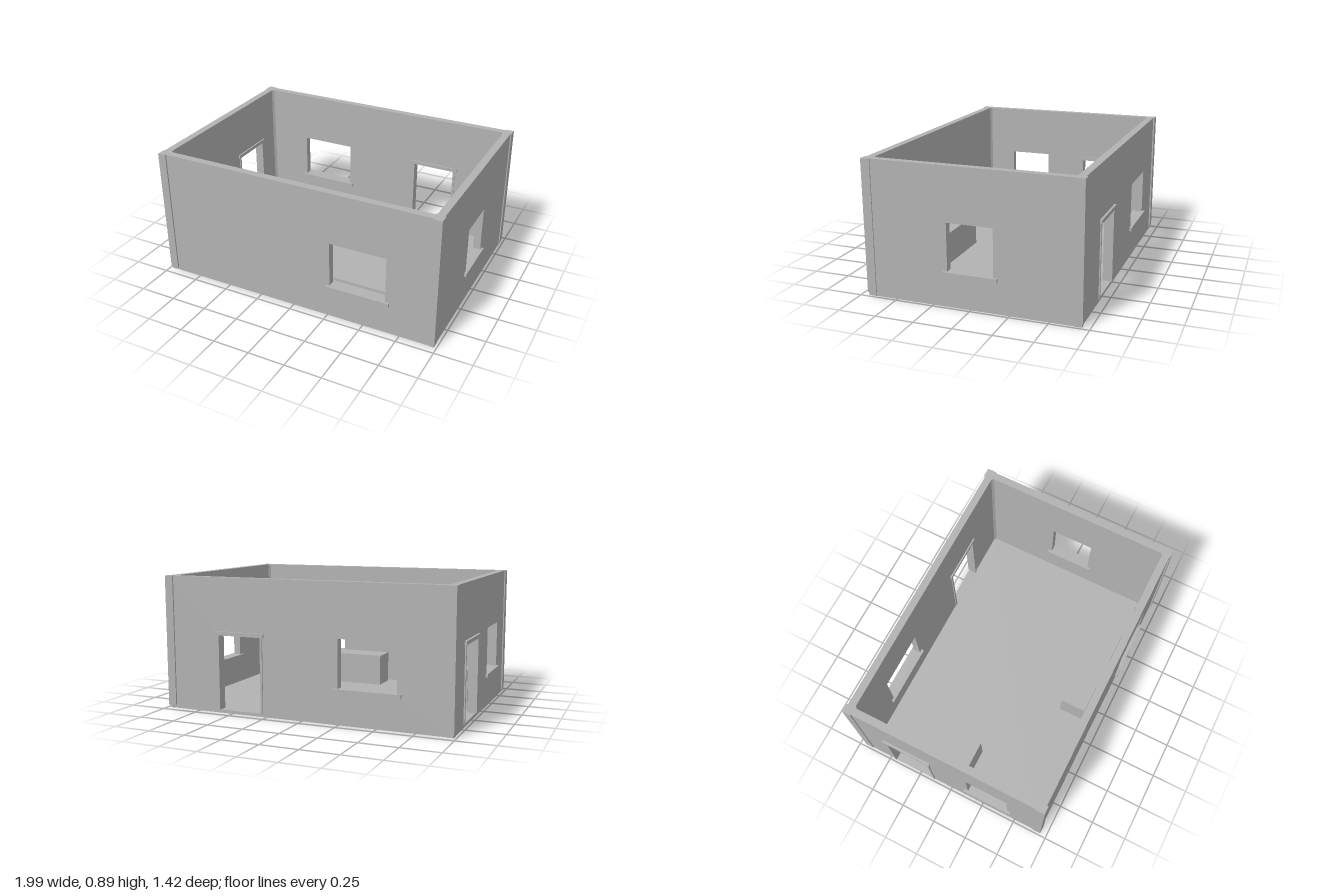
import * as THREE from 'three';

const H = 0.89;        // wall height
const FLOOR = 0.02;    // floor thickness
const T = 0.05;        // wall thickness
const X = 0.98;        // outer wall faces
const Z = 0.695;
const HEAD = 0.54;     // window head
const DOOR_HEAD = 0.515;

export function createModel() {
  const plaster = new THREE.MeshStandardMaterial({ color: 0xb2b2b2 });
  const house = new THREE.Group();
  house.name = 'roomShell';

  function add(parent, name, geometry) {
    const mesh = new THREE.Mesh(geometry, plaster);
    mesh.name = name;
    parent.add(mesh);
    return mesh;
  }

  // box given by its limits
  function box(parent, name, x0, x1, y0, y1, z0, z1) {
    const mesh = add(parent, name, new THREE.BoxGeometry(x1 - x0, y1 - y0, z1 - z0));
    mesh.position.set((x0 + x1) / 2, (y0 + y1) / 2, (z0 + z1) / 2);
    return mesh;
  }

  function rectPath(x0, x1, y0, y1, Type) {
    const p = new Type();
    p.moveTo(x0, y0);
    p.lineTo(x1, y0);
    p.lineTo(x1, y1);
    p.lineTo(x0, y1);
    p.closePath();
    return p;
  }

  // wall with its outer face at local z = 0, turned to face its side of the room
  function wall(name, half, distance, angle, openings) {
    const g = new THREE.Group();
    g.name = name;
    g.rotation.y = angle;
    g.position.set(Math.sin(angle) * distance, 0, Math.cos(angle) * distance);
    house.add(g);

    const shape = rectPath(-half, half, 0, H, THREE.Shape);
    for (const o of openings) {
      const y0 = o.door ? FLOOR : 0.205;
      const y1 = o.door ? DOOR_HEAD : HEAD;
      shape.holes.push(rectPath(o.u - o.w, o.u + o.w, y0, y1, THREE.Path));
    }
    const geo = new THREE.ExtrudeGeometry(shape, { depth: T, bevelEnabled: false });
    add(g, name + 'Panel', geo.translate(0, 0, -T));

    for (const o of openings) {
      if (o.door) {
        // lintel and jambs of a doorway
        box(g, 'doorLintel', o.u - o.w - 0.027, o.u + o.w + 0.027, DOOR_HEAD, HEAD, -T - 0.01, 0.015);
        for (const s of [-1, 1]) {
          const a = o.u + s * o.w, b = o.u + s * (o.w + 0.015);
          box(g, 'doorJamb', Math.min(a, b), Math.max(a, b), FLOOR, DOOR_HEAD, -T - 0.006, 0.008);
        }
      } else {
        // sill of a window
        box(g, 'windowSill', o.u - o.w - 0.028, o.u + o.w + 0.028, 0.205, 0.23, -T - 0.018, 0.017);
      }
    }
  }

  wall('frontWall', X, Z, 0, [{ u: 0.458, w: 0.192 }]);
  wall('backWall', X, Z, Math.PI, [{ u: 0.44, w: 0.192 }, { u: -0.438, w: 0.15, door: true }]);
  wall('leftWall', Z - T, X, Math.PI / 2, [{ u: 0, w: 0.15 }]);
  wall('rightWall', Z - T, X, -Math.PI / 2, [{ u: 0.293, w: 0.15 }, { u: -0.3, w: 0.15, door: true }]);

  // floor slab between the walls
  box(house, 'floor', -X + T, X - T, 0, FLOOR, -Z + T, Z - T);

  for (const sx of [-1, 1]) {
    for (const sz of [-1, 1]) {
      // corner post on a slightly smaller foot
      const post = add(house, 'cornerPost', new THREE.BoxGeometry(0.057, H - FLOOR, 0.06));
      post.position.set(sx * 0.9585, (H + FLOOR) / 2, sz * 0.675);
      const foot = add(house, 'cornerFoot', new THREE.BoxGeometry(0.03, FLOOR, 0.052));
      foot.position.set(sx * 0.968, FLOOR / 2, sz * 0.673);

      // chamfer in the inner corner
      const cx = sx * (X - T), cz = sz * (Z - T), c = 0.014;
      const tri = new THREE.Shape([
        new THREE.Vector2(cx, -cz),
        new THREE.Vector2(cx - sx * c, -cz),
        new THREE.Vector2(cx, -cz + sz * c),
      ]);
      const geo = new THREE.ExtrudeGeometry(tri, { depth: H - FLOOR, bevelEnabled: false });
      const chamfer = add(house, 'innerCorner', geo.rotateX(-Math.PI / 2));
      chamfer.position.y = FLOOR;
    }
  }

  // low furniture blocks
  box(house, 'counter', -0.11, 0.79, FLOOR, 0.24, 0.435, 0.615);
  box(house, 'smallBlock', -0.905, -0.655, FLOOR, 0.285, -0.08, 0.075);

  return house;
}
